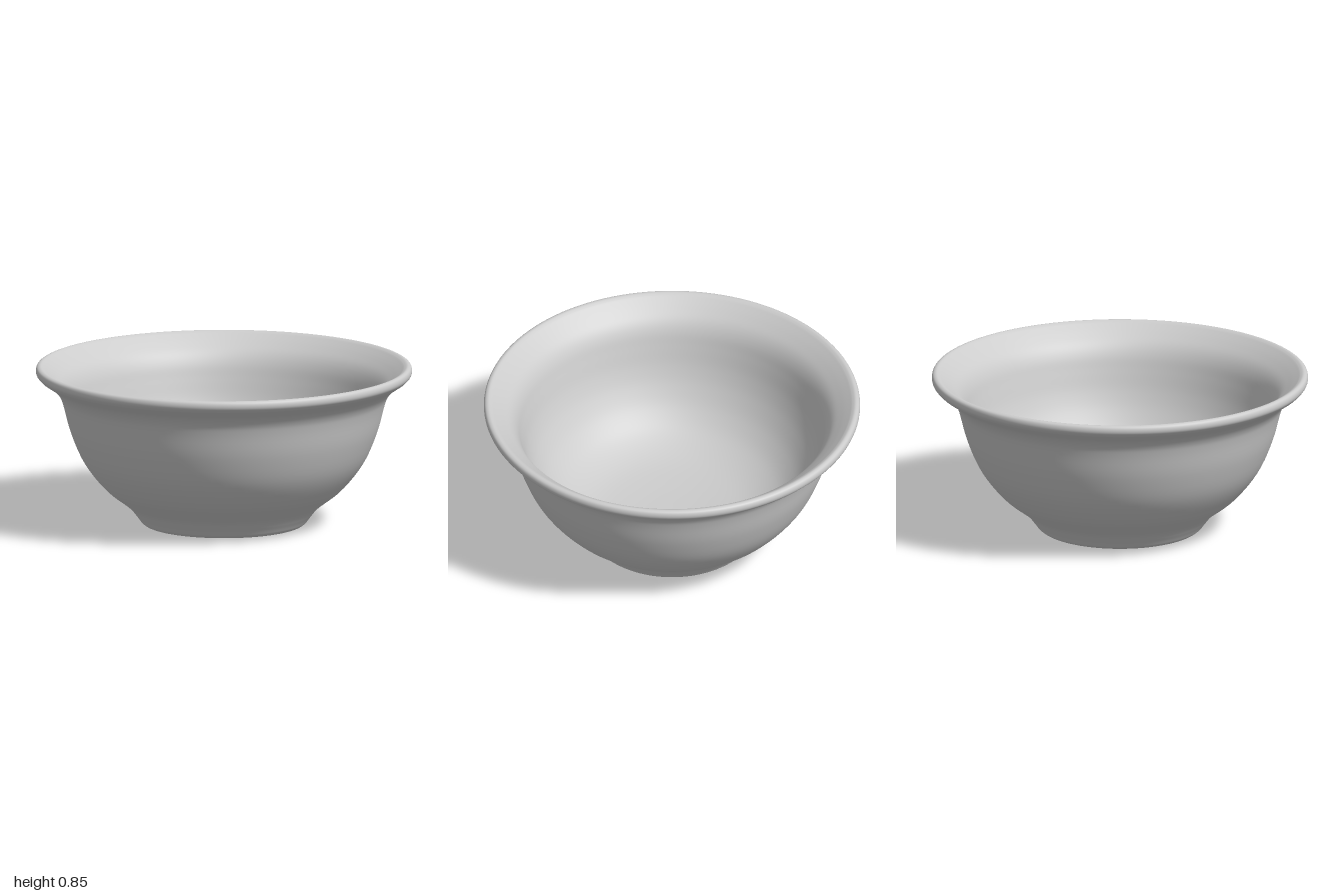
import * as THREE from 'three';

// Smooth run of profile points [radius, height]
function smoothRun(points, steps) {
  const curve = new THREE.SplineCurve(points.map(([r, y]) => new THREE.Vector2(r, y)));
  return curve.getPoints(steps).map((p) => new THREE.Vector2(Math.max(p.x, 0), Math.max(p.y, 0)));
}

export function createModel() {
  const group = new THREE.Group();
  group.name = 'mixingBowl';
  const material = new THREE.MeshStandardMaterial({ color: 0xcccccc });

  // Hollow underside and foot ring
  const foot = smoothRun([[0, 0.078], [0.13, 0.078], [0.25, 0.074], [0.305, 0.048], [0.345, 0.018],
    [0.38, 0.003], [0.42, 0.002], [0.443, 0.018]], 36);
  // Outer wall, flaring out to the rim
  const outerWall = smoothRun([[0.443, 0.018], [0.468, 0.052], [0.515, 0.105], [0.635, 0.2],
    [0.745, 0.34], [0.815, 0.5], [0.853, 0.64], [0.873, 0.695], [0.905, 0.738], [0.945, 0.768],
    [0.978, 0.79]], 48);
  // Rounded lip
  const lip = smoothRun([[0.978, 0.79], [0.996, 0.81], [1, 0.83], [0.993, 0.848],
    [0.975, 0.854], [0.955, 0.845]], 20);
  // Inner flare, steep wall and dished floor
  const innerWall = smoothRun([[0.955, 0.845], [0.905, 0.805], [0.855, 0.757], [0.822, 0.7],
    [0.797, 0.62], [0.765, 0.515], [0.72, 0.415], [0.65, 0.312], [0.55, 0.225], [0.4, 0.163],
    [0.2, 0.138], [0, 0.132]], 60);

  // One continuous turned profile, dropping the repeated joins
  const profile = [...foot, ...outerWall.slice(1), ...lip.slice(1), ...innerWall.slice(1)];
  const bowl = new THREE.Mesh(new THREE.LatheGeometry(profile, 128), material);
  bowl.name = 'bowl';
  group.add(bowl);
  return group;
}
